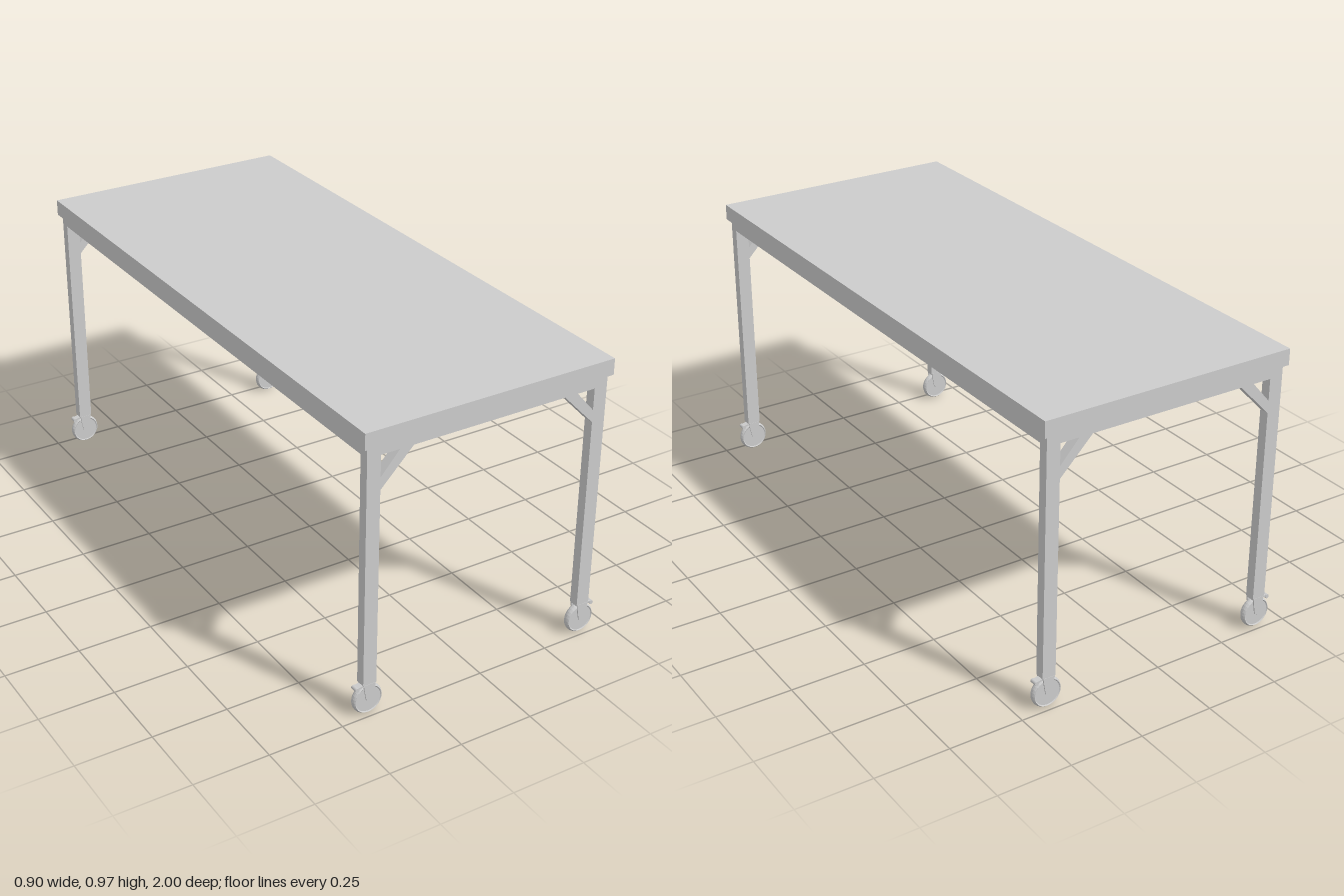
import * as THREE from 'three';

const grey = new THREE.MeshStandardMaterial({ color: 0xcccccc });
const flat = new THREE.MeshStandardMaterial({ color: 0xcccccc, flatShading: true });

function add(parent, name, geometry, x = 0, y = 0, z = 0, material = grey) {
  const mesh = new THREE.Mesh(geometry, material);
  mesh.name = name;
  mesh.position.set(x, y, z);
  parent.add(mesh);
  return mesh;
}

const box = (w, h, d) => new THREE.BoxGeometry(w, h, d);

// Flat outline in x-y, extruded along z and centred on it
function plate(points, depth) {
  const shape = new THREE.Shape(points.map(([x, y]) => new THREE.Vector2(x, y)));
  const geometry = new THREE.ExtrudeGeometry(shape, { depth, bevelEnabled: false });
  return geometry.translate(0, 0, -depth / 2);
}

// Caster with its axle at the origin; sx points to the outside of the table
function createCaster(sx) {
  const caster = new THREE.Group();
  caster.name = 'caster';

  // Wheel: recessed hub and rounded tyre, turned about the z axis
  const profile = [[0, -0.009], [0.043, -0.009], [0.046, -0.0115], [0.049, -0.008], [0.051, -0.003],
    [0.051, 0.003], [0.049, 0.008], [0.046, 0.0115], [0.043, 0.009], [0, 0.009]];
  const wheel = new THREE.LatheGeometry(profile.map(([r, h]) => new THREE.Vector2(r, h)), 28);
  add(caster, 'wheel', wheel.rotateX(Math.PI / 2), 0, 0, 0, flat);

  // Tapered fork cheeks and the plate joining them above the wheel
  const cheek = [[-0.010, 0], [0.010, 0], [0.013, 0.012], [0.019, 0.045], [0.019, 0.056], [-0.019, 0.056], [-0.019, 0.045], [-0.013, 0.012]];
  for (const side of [-1, 1]) add(caster, 'forkCheek', plate(cheek, 0.004), 0, 0, side * 0.0155);
  add(caster, 'forkPlate', box(0.04, 0.006, 0.035), 0, 0.055, 0);
  const axle = new THREE.CylinderGeometry(0.005, 0.005, 0.034, 10).rotateX(Math.PI / 2);
  add(caster, 'axle', axle);

  // Brake lever on the outer side
  const lever = add(caster, 'brakeLever', box(0.028, 0.006, 0.022), sx * 0.03, 0.05, 0);
  lever.rotation.z = -sx * 0.2;
  const pedal = new THREE.CylinderGeometry(0.007, 0.007, 0.024, 10).rotateX(Math.PI / 2);
  add(caster, 'brakePedal', pedal, sx * 0.04, 0.046, 0);
  return caster;
}

export function createModel() {
  const table = new THREE.Group();
  table.name = 'rollingTable';

  add(table, 'tabletop', box(0.874, 0.054, 2), 0, 0.94, 0);

  // Rails under the top
  for (const s of [-1, 1]) {
    add(table, 'sideRail', box(0.033, 0.034, 1.914), s * 0.4065, 0.896, 0);
    add(table, 'endRail', box(0.756, 0.034, 0.033), 0, 0.896, s * 0.9735);
  }

  // Legs, corner braces and casters
  for (const sx of [-1, 1]) {
    for (const sz of [-1, 1]) {
      const corner = new THREE.Group();
      corner.name = 'legAssembly';
      corner.position.z = sz * 0.9735;
      table.add(corner);

      add(corner, 'leg', box(0.046, 0.804, 0.033), sx * 0.4, 0.511, 0);
      const brace = [[0.378, 0.765], [0.378, 0.806], [0.313, 0.88], [0.266, 0.88]];
      add(corner, 'brace', plate(brace.map(([x, y]) => [sx * x, y]), 0.033));

      const caster = createCaster(sx);
      caster.position.set(sx * 0.4, 0.051, 0);
      corner.add(caster);
    }
  }
  return table;
}
